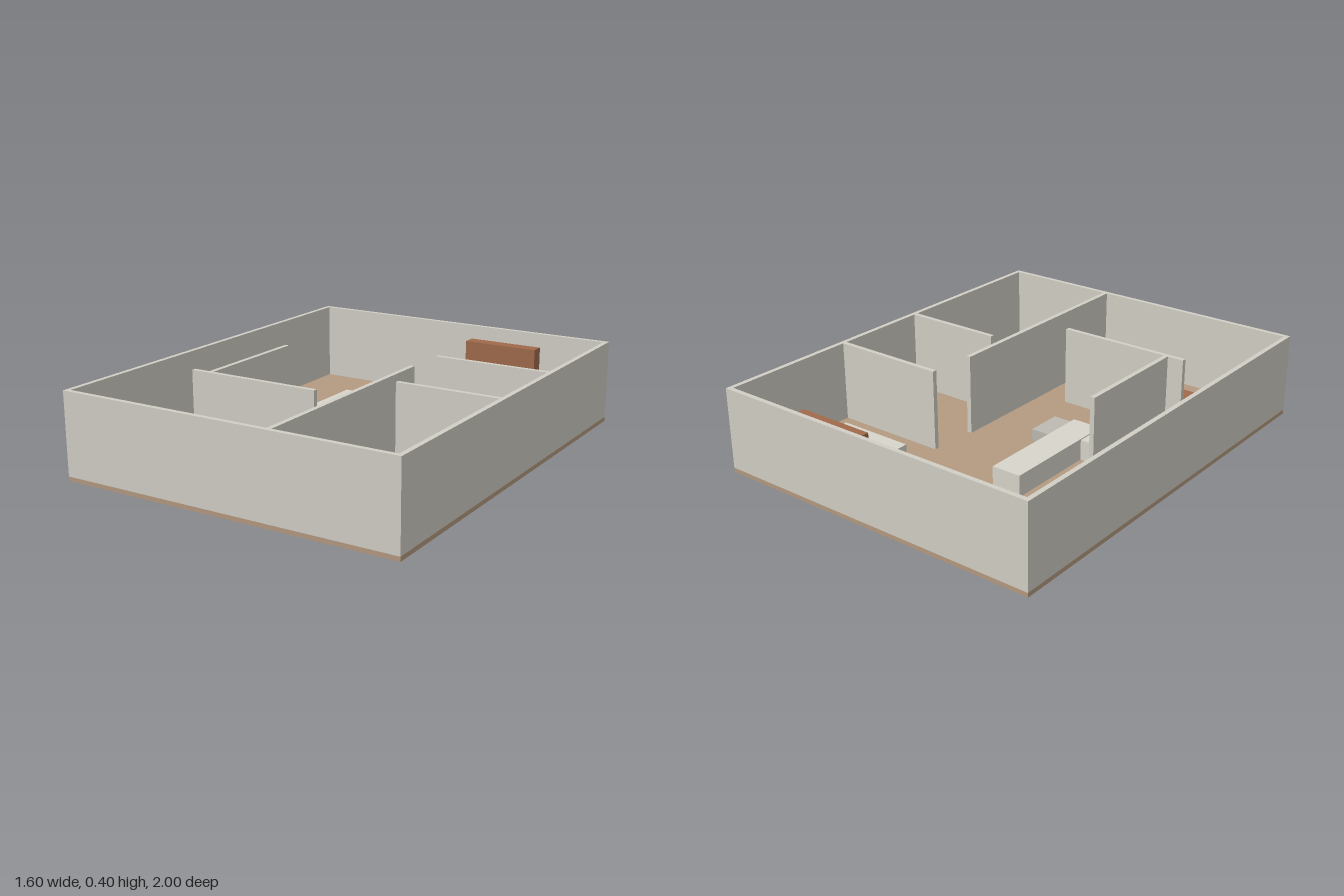
import * as THREE from 'three';

const FLOOR = 0.02, TOP = 0.395;
const mat = (color) => new THREE.MeshStandardMaterial({ color });

export function createModel() {
  const model = new THREE.Group();
  const wall = mat(0xd2cfc5), floorMat = mat(0xb59a80), wood = mat(0xa06a4c);
  const pale = mat(0xd8d5cb), grey = mat(0xbcbab1);

  // Box given by its plan rectangle and its bottom and top heights
  const block = (name, x0, x1, z0, z1, top, material, bottom = FLOOR) => {
    const mesh = new THREE.Mesh(new THREE.BoxGeometry(x1 - x0, top - bottom, z1 - z0), material);
    mesh.position.set((x0 + x1) / 2, (bottom + top) / 2, (z0 + z1) / 2);
    mesh.name = name;
    model.add(mesh);
  };

  // Floor slab
  block('floor', -0.8, 0.8, -1, 1, FLOOR, floorMat, 0);

  // Outer walls: a rectangular ring raised from the floor
  const rect = (Type, w, d) => new Type([
    new THREE.Vector2(-w, -d), new THREE.Vector2(w, -d),
    new THREE.Vector2(w, d), new THREE.Vector2(-w, d),
  ]);
  const ring = rect(THREE.Shape, 0.8, 1);
  ring.holes.push(rect(THREE.Path, 0.778, 0.978));
  const ringGeo = new THREE.ExtrudeGeometry(ring, { depth: TOP - FLOOR, bevelEnabled: false });
  ringGeo.rotateX(-Math.PI / 2).translate(0, FLOOR, 0);
  const outer = new THREE.Mesh(ringGeo, wall);
  outer.name = 'outerWalls';
  model.add(outer);

  // Partition walls: x0, x1, z0, z1
  [
    ['backRoomPartition', 0.23, 0.778, -0.335, -0.313],
    ['frontRoomPartition', 0.298, 0.778, 0.147, 0.169],
    ['hallPartition', 0.212, 0.234, -0.107, 0.978],
    ['livingPartition', -0.482, -0.46, -0.135, 0.44],
    ['kitchenPartition', -0.56, 0.078, 0.438, 0.46],
  ].forEach(([name, ...r]) => block(name, ...r, TOP, wall));

  // Furniture: x0, x1, z0, z1, top height
  block('backBed', 0.282, 0.652, -0.928, -0.466, 0.08, pale);
  block('frontBed', 0.325, 0.656, 0.408, 0.842, 0.1, pale);
  block('wardrobe', 0.107, 0.477, -0.928, -0.864, 0.34, wood);
  block('sofaLong', -0.338, -0.197, -0.456, 0.126, 0.12, pale);
  block('sofaShort', -0.594, -0.3, -0.021, 0.121, 0.115, pale);
  block('coffeeTable', -0.22, -0.053, 0.004, 0.177, 0.075, grey);
  block('diningTable', -0.604, -0.285, 0.56, 0.716, 0.12, wood);
  block('counter', -0.062, 0.084, 0.46, 0.89, 0.12, pale);

  return model;
}
